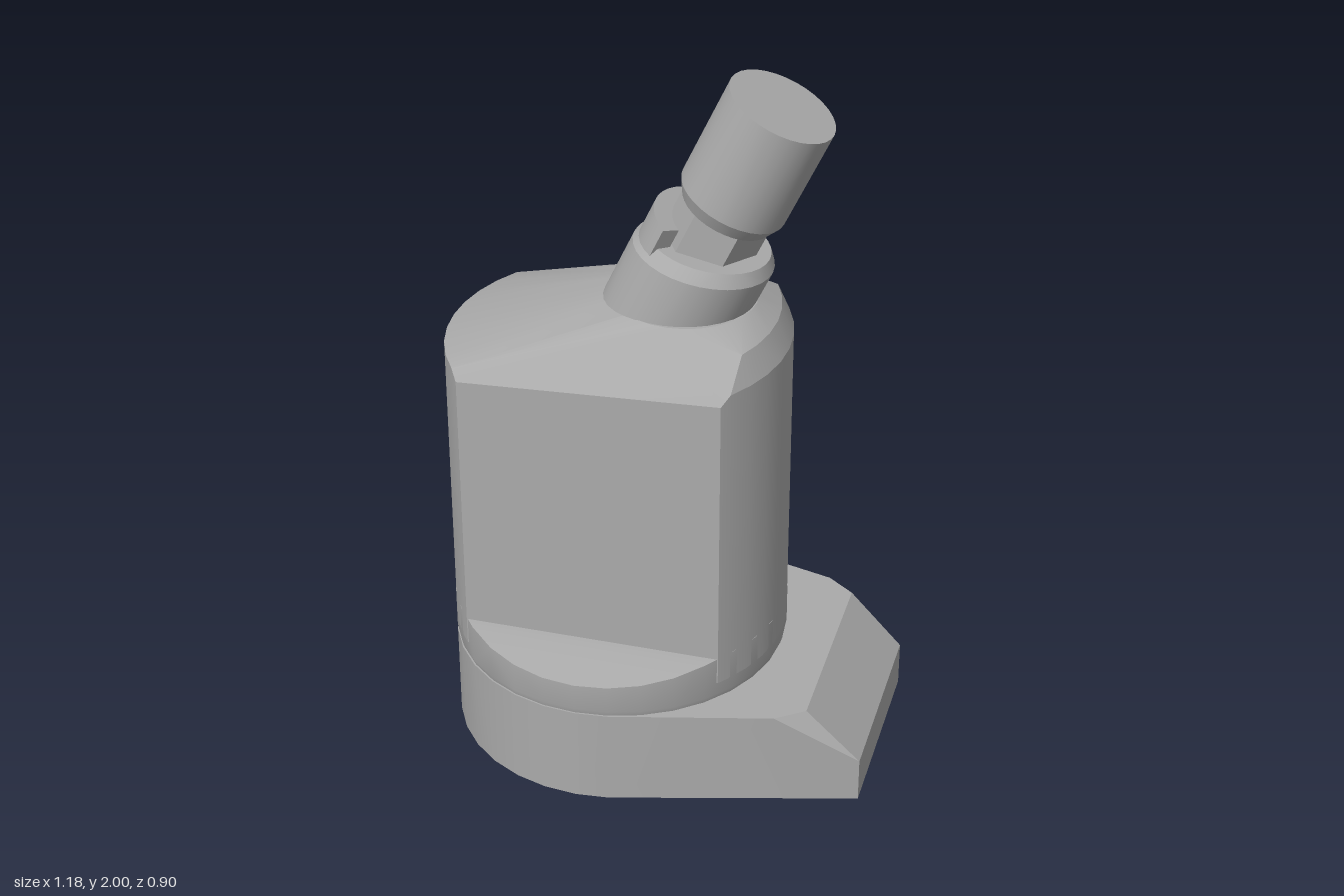
import * as THREE from 'three';
import { ConvexGeometry } from 'three/addons/geometries/ConvexGeometry.js';
import { toCreasedNormals } from 'three/addons/utils/BufferGeometryUtils.js';

const CX = -0.14, R = 0.452, FLAT = 0.29; // body centre, radius and half thickness between the flats

export function createModel() {
  const model = new THREE.Group();
  const grey = new THREE.MeshStandardMaterial({ color: 0xaaaaaa });
  grey.name = 'grey';

  const add = (parent, name, geometry) => {
    const mesh = new THREE.Mesh(geometry, grey);
    mesh.name = name;
    parent.add(mesh);
    return mesh;
  };
  const v = (x, y, z) => new THREE.Vector3(x, y, z);
  const solid = (points, crease = 0.4) => toCreasedNormals(new ConvexGeometry(points), crease);
  const pair = (x, y, z) => [v(x, y, z), v(x, y, -z)];
  // Ring of points; y may be a number or a rule of (x, z)
  const ring = (cx, r, y, n = 32) => Array.from({ length: n }, (_, i) => {
    const a = (i / n) * Math.PI * 2, x = cx + r * Math.cos(a), z = r * Math.sin(a);
    return v(x, typeof y === 'function' ? y(x, z) : y, z);
  });

  // Base plate: round at the left, tapering to a bevelled end
  const round = y => ring(CX, R, y).filter(p => p.x < 0);
  add(model, 'basePlate', solid([
    ...round(0.08), ...round(0.35),
    ...pair(0.59, 0.08, 0.27), ...pair(0.59, 0.205, 0.27),
    ...pair(0.445, 0.35, 0.28), ...pair(0.37, 0.35, 0.335),
  ]));

  // Locating key under the plate
  const key = [];
  for (const [y, w, l] of [[0.1, 0.067, 0.145], [0.03, 0.062, 0.145], [0, 0.05, 0.125]])
    for (const s of [-1, 1])
      key.push(...pair(0.4 + s * w, y, l - 0.02), ...pair(0.4 + s * (w - 0.02), y, l));
  add(model, 'locatingKey', solid(key));

  // Round skirt with ledges sloping away from the flats
  add(model, 'skirt', solid([
    ...ring(CX, R - 0.006, 0.345), ...ring(CX, R, 0.365),
    ...ring(CX, R, (x, z) => 0.48 - Math.max(0, Math.abs(z) - FLAT) * 0.25),
  ]));

  // Body: cylinder with two flats, sloped roof and chamfered shoulders
  const chord = Math.sqrt(R * R - FLAT * FLAT);
  const side = y => ring(CX, R, y, 40).filter(p => Math.abs(p.z) < FLAT - 0.005);
  add(model, 'body', solid([
    ...side(0.4), ...pair(CX - chord, 0.4, FLAT), ...pair(CX + chord, 0.4, FLAT),
    ...side(x => (x > CX ? 1.27 : 1.235)),
    ...pair(CX - chord, 1.21, FLAT), ...pair(CX + chord, 1.245, FLAT),
    ...ring(CX, 0.42, 1.345, 40).filter(p => p.x > 0.2),
    ...ring(0.04, 0.185, 1.39, 28),
  ]));

  // Tilted connector, with its origin at the centre of the cap's end
  const connector = new THREE.Group();
  connector.name = 'connector';
  connector.position.set(0.28, 1.94, 0);
  connector.rotation.z = -0.433;
  model.add(connector);

  const lip = x => -0.43 + 0.24 * x;
  add(connector, 'collar', solid([
    ...ring(0, 0.178, -0.75), ...ring(0, 0.178, x => lip(x) - 0.035), ...ring(0, 0.155, lip),
  ]));

  // Raised rim on the left part of the collar
  const rimShape = new THREE.Shape();
  rimShape.absarc(0, 0, 0.168, Math.PI - 0.85, Math.PI + 0.85, false);
  rimShape.absarc(0, 0, 0.118, Math.PI + 0.85, Math.PI - 0.85, true);
  rimShape.closePath();
  const rim = new THREE.ExtrudeGeometry(rimShape, { depth: 0.115, bevelEnabled: false, curveSegments: 12 });
  rim.rotateX(-Math.PI / 2).translate(0, -0.51, 0);
  add(connector, 'collarRim', toCreasedNormals(rim, 0.5));

  add(connector, 'hexNeck', solid([...ring(0, 0.12, -0.52, 6), ...ring(0, 0.12, -0.3, 6)]));

  add(connector, 'cap', solid([
    ...ring(0, 0.122, -0.325), ...ring(0, 0.143, -0.285), ...ring(0, 0.143, 0),
  ]));

  return model;
}
